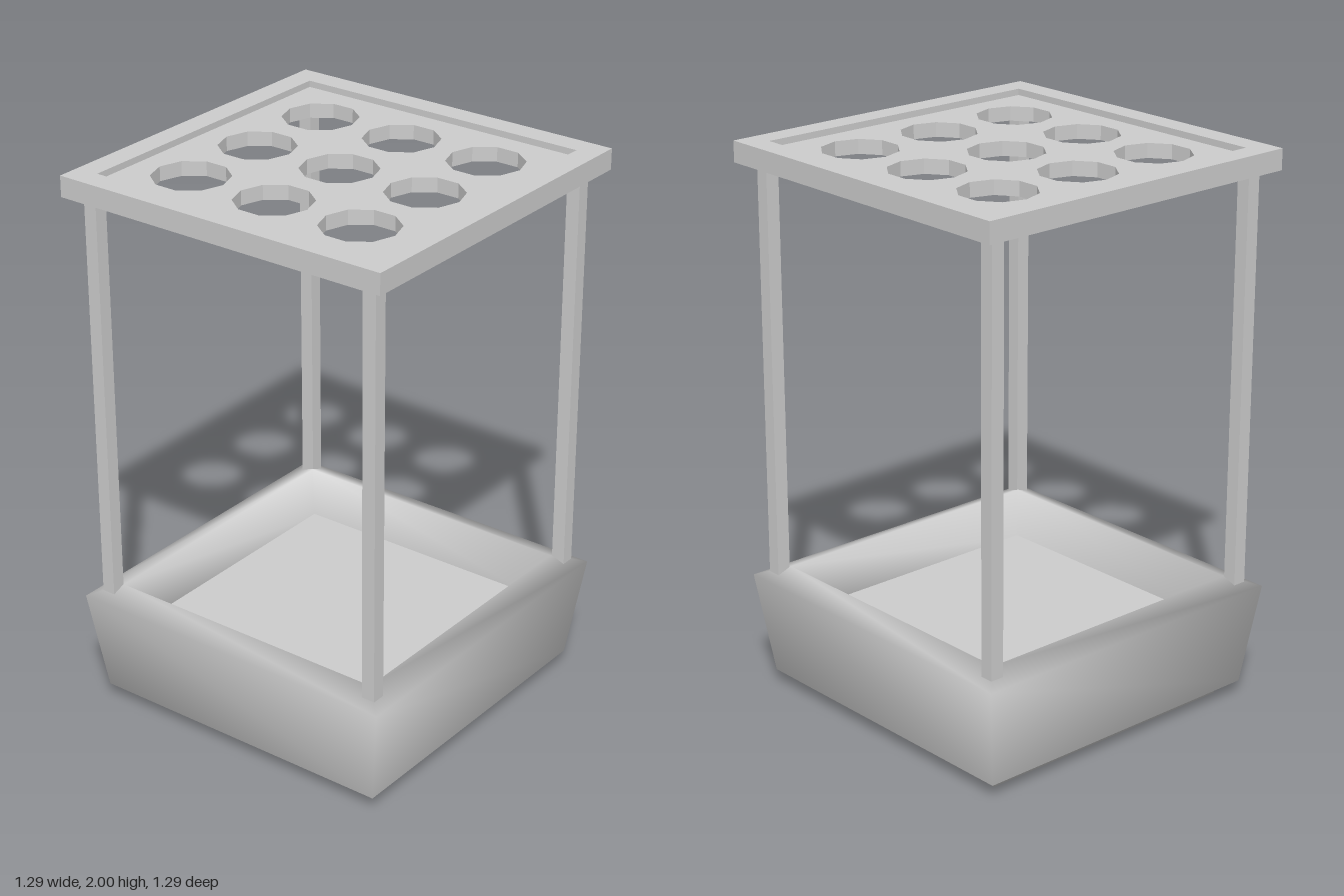
import * as THREE from 'three';

const material = new THREE.MeshStandardMaterial({ color: 0xcccccc });

function addMesh(parent, name, geometry) {
  const mesh = new THREE.Mesh(geometry, material);
  mesh.name = name;
  parent.add(mesh);
  return mesh;
}

// Square outline of half width h, as a Shape or a Path
function square(h, Type) {
  const p = [[-h, -h], [h, -h], [h, h], [-h, h]];
  return new Type(p.map(([x, y]) => new THREE.Vector2(x, y)));
}

// Horizontal slab from y0 to y1 with the outline of a shape
function slab(shape, y0, y1) {
  return new THREE.ExtrudeGeometry(shape, { depth: y1 - y0, bevelEnabled: false })
    .rotateX(-Math.PI / 2).translate(0, y0, 0);
}

// Smooth skin through square rings given as [half width, y], closed at the first ring
function squareLoft(profile) {
  const corners = [[1, 1], [1, -1], [-1, -1], [-1, 1]];
  const positions = [], index = [0, 2, 1, 0, 3, 2];
  profile.forEach(([h, y], ring) => {
    corners.forEach(([sx, sz], i) => {
      positions.push(sx * h, y, sz * h);
      if (ring === 0) return;
      const j = (i + 1) % 4, lower = (ring - 1) * 4, upper = ring * 4;
      index.push(lower + i, lower + j, upper + i, lower + j, upper + j, upper + i);
    });
  });
  const geometry = new THREE.BufferGeometry();
  geometry.setAttribute('position', new THREE.Float32BufferAttribute(positions, 3));
  geometry.setIndex(index);
  geometry.computeVertexNormals();
  return geometry;
}

export function createModel() {
  const model = new THREE.Group();
  model.name = 'plantStand';

  // Flared tub with a foot, a sloping rim and inner walls
  addMesh(model, 'tub', squareLoft([
    [0.525, 0], [0.525, 0.05], [0.585, 0.05], [0.635, 0.42], [0.54, 0.455], [0.505, 0.28],
  ]));
  addMesh(model, 'tubFloor', new THREE.PlaneGeometry(1.015, 1.015)
    .rotateX(-Math.PI / 2).translate(0, 0.288, 0));

  // Four corner posts, leaning very slightly to one side
  const postBottom = 0.43, postTop = 1.925, lean = -0.005;
  const height = postTop - postBottom;
  for (const sx of [-1, 1]) {
    for (const sz of [-1, 1]) {
      const geometry = new THREE.BoxGeometry(0.05, height, 0.05);
      geometry.applyMatrix4(new THREE.Matrix4().makeShear(0, 0, lean / height, 0, 0, 0));
      const name = (sz > 0 ? 'front' : 'back') + (sx > 0 ? 'Left' : 'Right') + 'Post';
      addMesh(model, name, geometry)
        .position.set(sx * 0.567, (postBottom + postTop) / 2, sz * 0.567);
    }
  }

  // Top tray: raised border around a recessed panel
  const border = square(0.645, THREE.Shape);
  border.holes.push(square(0.56, THREE.Path));
  addMesh(model, 'trayBorder', slab(border, 1.925, 2));

  // Panel with a 3 x 3 grid of ten-sided holes
  const panel = square(0.56, THREE.Shape);
  for (const x of [-0.345, 0, 0.345]) {
    for (const z of [-0.345, 0, 0.345]) {
      const points = [];
      for (let i = 0; i < 10; i++) {
        const a = Math.PI / 2 - i * Math.PI / 5;
        points.push(new THREE.Vector2(x + 0.135 * Math.cos(a), z + 0.135 * Math.sin(a)));
      }
      panel.holes.push(new THREE.Path(points));
    }
  }
  addMesh(model, 'trayPanel', slab(panel, 1.925, 1.977));

  return model;
}
